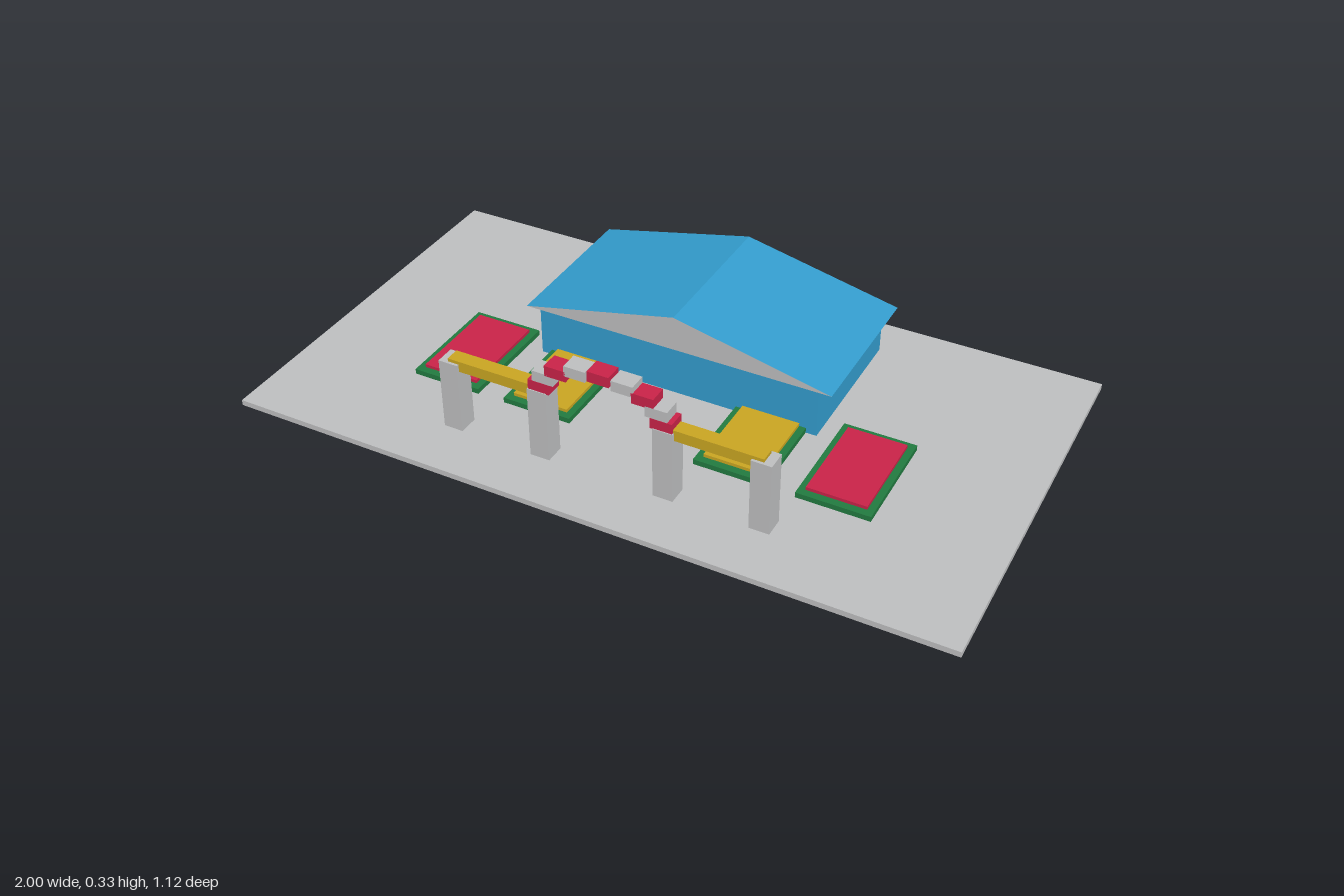
import * as THREE from 'three';

export function createModel() {
  const group = new THREE.Group();
  const mat = (name, color) => new THREE.MeshStandardMaterial({ name, color });
  const grey = mat('stone grey', 0xbdbebf);
  const blue = mat('hall blue', 0x339ccd);
  const red = mat('crimson', 0xc92348);
  const yellow = mat('mustard', 0xc9a522);
  const green = mat('hedge green', 0x227a40);

  // Axis-aligned box given by its centre in x and z and its bottom and top in y
  const box = (name, material, x, z, width, depth, bottom, top) => {
    const mesh = new THREE.Mesh(new THREE.BoxGeometry(width, top - bottom, depth), material);
    mesh.position.set(x, (bottom + top) / 2, z);
    mesh.name = name;
    group.add(mesh);
  };

  const ground = 0.016;
  box('base', grey, 0, 0, 2, 1.12, 0, ground);

  // Hall with a gabled roof: grey gable ends, blue slopes
  box('hallWalls', blue, 0, -0.218, 0.82, 0.436, ground, 0.162);
  const gable = new THREE.Shape([
    new THREE.Vector2(-0.448, 0.16),
    new THREE.Vector2(0.448, 0.16),
    new THREE.Vector2(0, 0.26),
  ]);
  const roof = new THREE.Mesh(
    new THREE.ExtrudeGeometry(gable, { depth: 0.455, bevelEnabled: false }),
    [grey, blue],
  );
  roof.position.z = -0.446;
  roof.name = 'roof';
  group.add(roof);

  const gateZ = 0.375;
  for (const side of [-1, 1]) {
    // Flower beds with a green border
    for (const [x, material, name] of [[0.28, yellow, 'innerBed'], [0.56, red, 'outerBed']]) {
      box(name + 'Border', green, side * x, 0.092, 0.2, 0.312, ground, 0.031);
      box(name + 'Flowers', material, side * x, 0.092, 0.162, 0.27, 0.031, 0.04);
    }
    // Gate posts and the beam that joins them
    for (const x of [0.175, 0.435]) {
      box('gatePost', grey, side * x, gateZ, 0.055, 0.055, ground, 0.222);
    }
    box('gateBeam', yellow, side * 0.307, gateZ, 0.264, 0.04, 0.2, 0.231);
  }

  // Stepped arch of upright blocks in alternating colours
  for (let i = 0; i <= 8; i++) {
    const angle = (i * Math.PI) / 8;
    const y = 0.235 + 0.08 * Math.sin(angle);
    box('archBlock', i % 2 ? grey : red, 0.17 * Math.cos(angle), gateZ,
      0.06, 0.05, y - 0.015, y + 0.015);
  }

  return group;
}
